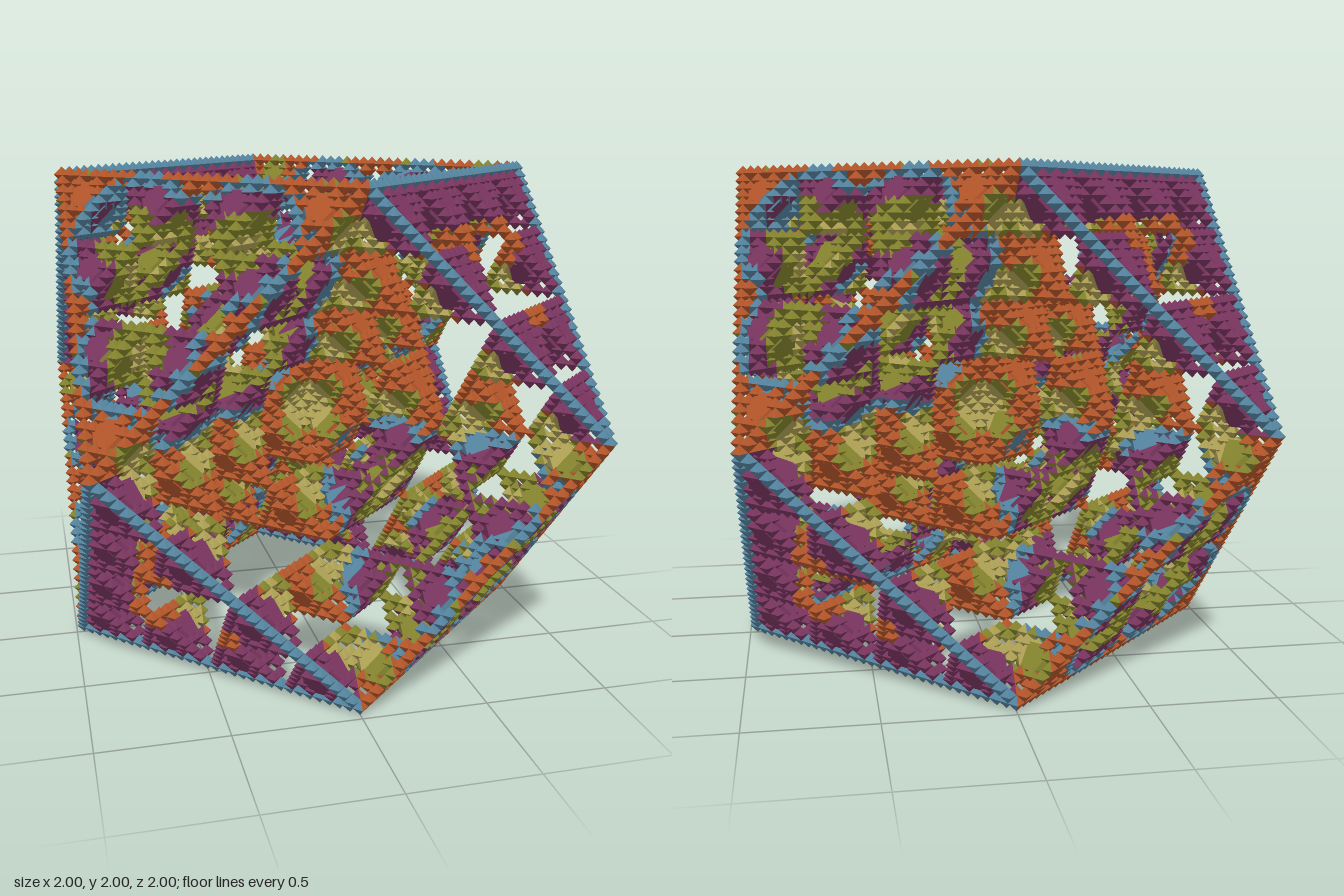
import * as THREE from 'three';
import { ConvexGeometry } from 'three/addons/geometries/ConvexGeometry.js';

const N = 32; // lattice steps along one octant
const R = 1 / N; // octahedron radius and lattice step
const BLOCK = 8; // lattice steps in a block that carries one plug

const PALETTE = {
  orange: 0xb5562a, olive: 0x85852f, sand: 0xb0a255, purple: 0x7a3560, teal: 0x5585a0,
};
const MIRRORS = [1, -1].flatMap((x) => [1, -1].flatMap((y) => [1, -1].map((z) => [x, y, z])));
const RING_CENTRES = [[1, 1, 1], [2, 2, 1], [2, 1, 2], [1, 2, 2]]
  .map((c) => new THREE.Vector3(...c).divideScalar(3));

// Lattice points of one pyramid fractal: four half-size copies at every level
function latticePoints(from) {
  let points = [[0, 0, 0]];
  for (let step = from; step < N; step *= 2) {
    points = points.flatMap(([x, y, z]) => [[0, 0, 0], [1, 1, 0], [1, 0, 1], [0, 1, 1]]
      .map(([a, b, c]) => [x + a * step, y + b * step, z + c * step]));
  }
  return points;
}

// Colour bands: rings in every second octant, rims and patches in the others
function bandAt(p) {
  const q = new THREE.Vector3(Math.abs(p.x), Math.abs(p.y), Math.abs(p.z));
  const wave = Math.sin(q.x * 25) + Math.sin(q.y * 25) + Math.sin(q.z * 25);
  if (p.x * p.y * p.z < 0) {
    const d = Math.min(...RING_CENTRES.map((c) => q.distanceTo(c)));
    if (d < 0.06) return 'teal';
    if (d < 0.13) return 'sand';
    if (d < 0.21) return 'olive';
    if (d < 0.28) return 'purple';
    if (d < 0.32) return 'teal';
  } else if (q.x + q.y + q.z > 1.75) {
    const rim = Math.max(q.x, q.y, q.z);
    if (rim > 0.95) return 'teal';
    if (rim > 0.8) return 'purple';
  }
  if (wave > 1.6) return 'sand';
  return wave > 0.1 ? 'olive' : 'orange';
}

export function createModel() {
  const group = new THREE.Group();
  group.name = 'fractalCuboctahedron';
  const bands = Object.fromEntries(Object.keys(PALETTE).map((k) => [k, []]));

  // Adds a solid's triangles, sorted by colour band
  const addSolid = (geometry, centre) => {
    const source = geometry.attributes.position;
    for (let i = 0; i < source.count; i += 3) {
      const corners = [0, 1, 2].map((k) => new THREE.Vector3().fromBufferAttribute(source, i + k).add(centre));
      const middle = corners[0].clone().add(corners[1]).add(corners[2]).divideScalar(3);
      const list = bands[bandAt(middle)];
      for (const v of corners) list.push(v.x, v.y + 1, v.z);
    }
  };

  // Eight mirrored pyramids of octahedra meeting at the centre, shared ones placed once
  const octahedron = new THREE.OctahedronGeometry(R);
  const points = latticePoints(1);
  const seen = new Set();
  for (const [sx, sy, sz] of MIRRORS) {
    for (const [x, y, z] of points) {
      const p = [x * sx + 0, y * sy + 0, z * sz + 0];
      const key = p.join();
      if (seen.has(key)) continue;
      seen.add(key);
      addSolid(octahedron, new THREE.Vector3(...p).multiplyScalar(R));
    }
  }

  // Truncated octahedron plugs in the middle of every block
  const plugCorners = [];
  for (const [sx, sy, sz] of MIRRORS) {
    for (const [a, b, c] of [[0, 1, 2], [0, 2, 1], [1, 0, 2], [2, 0, 1], [1, 2, 0], [2, 1, 0]]) {
      const corner = new THREE.Vector3(a * sx, b * sy, c * sz).multiplyScalar((R * 4.1) / 3);
      if (!plugCorners.some((v) => v.distanceTo(corner) < 1e-6)) plugCorners.push(corner);
    }
  }
  const plug = new ConvexGeometry(plugCorners);
  const middle = (BLOCK - 1) / 2;
  const blocks = latticePoints(BLOCK);
  for (const [sx, sy, sz] of MIRRORS) {
    for (const [x, y, z] of blocks) {
      addSolid(plug, new THREE.Vector3((x + middle) * sx, (y + middle) * sy, (z + middle) * sz).multiplyScalar(R));
    }
  }

  for (const [name, positions] of Object.entries(bands)) {
    const geometry = new THREE.BufferGeometry();
    geometry.setAttribute('position', new THREE.Float32BufferAttribute(positions, 3));
    geometry.computeVertexNormals();
    const mesh = new THREE.Mesh(geometry, new THREE.MeshStandardMaterial({ color: PALETTE[name] }));
    mesh.name = name + 'Facets';
    group.add(mesh);
  }
  return group;
}
